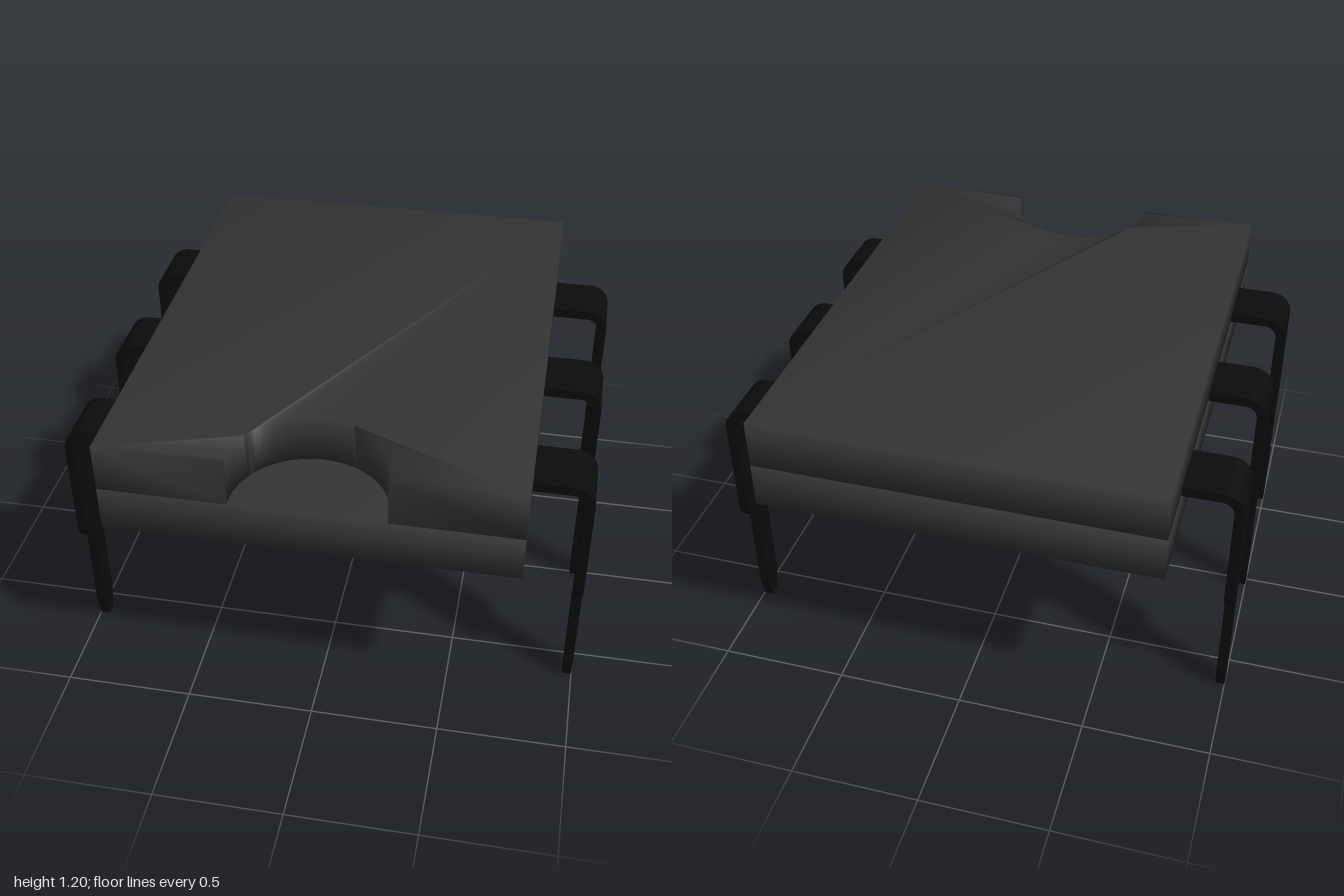
import * as THREE from 'three';
import { mergeVertices } from 'three/addons/utils/BufferGeometryUtils.js';

const W = 0.77, D = 0.985;               // body half width and half depth
const BOTTOM = 0.83, SEAM = 1.01, TOP = 1.2;

// weld all corners so the shading runs softly across the edges
function smooth(geometry) {
  geometry.deleteAttribute('normal');
  geometry.deleteAttribute('uv');
  const welded = mergeVertices(geometry, 1e-4);
  welded.computeVertexNormals();
  return welded;
}

function createLeg(material) {
  const leg = new THREE.Group();
  const t = 0.037, half = 0.114, r = 0.085, armTop = 1.037, bendY = armTop - r;

  // arm leaving the body and bending downwards, profile in x and y
  const arm = new THREE.Shape();
  arm.moveTo(W - 0.05, armTop);
  arm.lineTo(1 - r, armTop);
  arm.absarc(1 - r, bendY, r, Math.PI / 2, 0, true);
  arm.lineTo(1 - t, bendY);
  arm.absarc(1 - r, bendY, r - t, 0, Math.PI / 2, false);
  arm.lineTo(W - 0.05, armTop - t);
  const armGeo = new THREE.ExtrudeGeometry(arm, { depth: half * 2, bevelEnabled: false, curveSegments: 10 });
  armGeo.translate(0, 0, -half);
  const armMesh = new THREE.Mesh(armGeo, material);
  armMesh.name = 'legArm';

  // flat blade: wide shoulder, narrow pin, tapered tip
  const pin = 0.045, tip = 0.024;
  const blade = new THREE.Shape();
  blade.moveTo(-half, bendY);
  blade.lineTo(-half, 0.565);
  blade.absellipse(-pin, 0.565, half - pin, 0.085, Math.PI, Math.PI * 1.5, false);
  blade.lineTo(-pin, 0.1);
  blade.lineTo(-tip, 0);
  blade.lineTo(tip, 0);
  blade.lineTo(pin, 0.1);
  blade.lineTo(pin, 0.48);
  blade.absellipse(pin, 0.565, half - pin, 0.085, Math.PI * 1.5, Math.PI * 2, false);
  blade.lineTo(half, bendY);
  const bladeGeo = new THREE.ExtrudeGeometry(blade, { depth: t, bevelEnabled: false, curveSegments: 8 });
  bladeGeo.rotateY(Math.PI / 2).translate(1 - t, 0, 0);
  const bladeMesh = new THREE.Mesh(bladeGeo, material);
  bladeMesh.name = 'legBlade';

  leg.add(armMesh, bladeMesh);
  return leg;
}

export function createModel() {
  const model = new THREE.Group();
  model.name = 'chipPackage';
  const bodyMaterial = new THREE.MeshStandardMaterial({ color: 0x333333 });
  const legMaterial = new THREE.MeshStandardMaterial({ color: 0x0b0b0b });

  // lower half of the body
  const lowerGeo = smooth(new THREE.BoxGeometry(W * 2, SEAM - BOTTOM, D * 2));
  const lower = new THREE.Mesh(lowerGeo, bodyMaterial);
  lower.name = 'lowerBody';
  lower.position.y = (SEAM + BOTTOM) / 2;
  model.add(lower);

  // upper half with the round notch in the front edge
  const notch = 0.289, notchZ = 0.96;
  const outline = new THREE.Shape();
  outline.moveTo(-W, -D);
  outline.lineTo(-notch, -D);
  outline.absarc(0, -notchZ, notch, Math.PI, 0, true);
  outline.lineTo(notch, -D);
  outline.lineTo(W, -D);
  outline.lineTo(W, D);
  outline.lineTo(-W, D);
  const upperGeo = new THREE.ExtrudeGeometry(outline, { depth: TOP - SEAM, bevelEnabled: false, curveSegments: 24 });
  upperGeo.rotateX(-Math.PI / 2);
  const upper = new THREE.Mesh(smooth(upperGeo), bodyMaterial);
  upper.name = 'upperBody';
  upper.position.y = SEAM;
  model.add(upper);

  // three legs on each side
  for (const z of [0.592, -0.01, -0.612]) {
    for (const side of [1, -1]) {
      const leg = createLeg(legMaterial);
      leg.name = side > 0 ? 'leftLeg' : 'rightLeg';
      leg.position.z = z;
      if (side < 0) leg.rotation.y = Math.PI;
      model.add(leg);
    }
  }
  return model;
}
